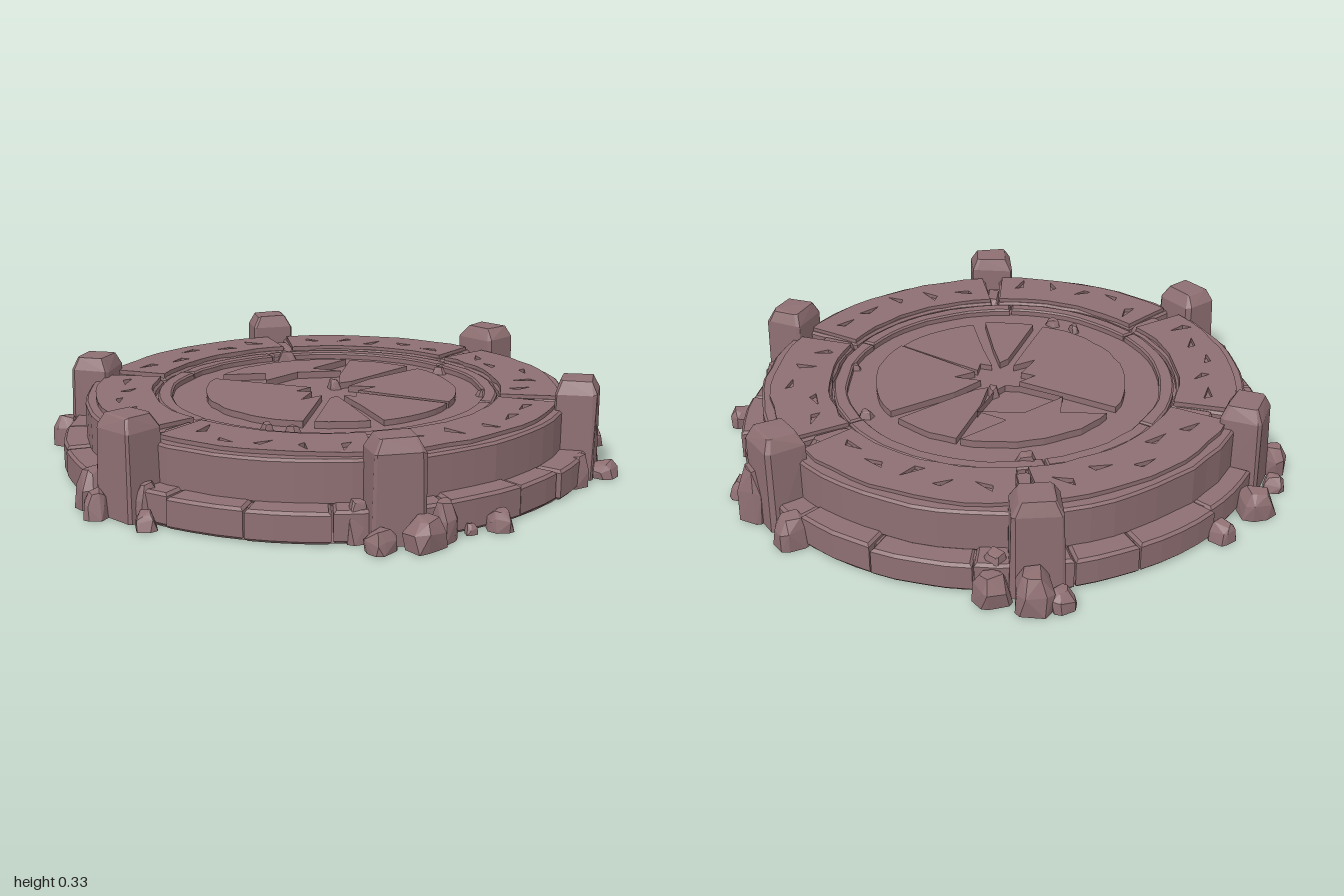
import * as THREE from 'three';
import { ConvexGeometry } from 'three/addons/geometries/ConvexGeometry.js';

const RAD = Math.PI / 180;
let seed = 7;
const rnd = () => { seed = (seed * 16807) % 2147483647; return seed / 2147483647; };
const jit = (s) => (rnd() - 0.5) * 2 * s;
// polar point in shape space; after lay() it sits at x = r cos a, z = r sin a
const polar = (r, deg) => new THREE.Vector2(r * Math.cos(deg * RAD), -r * Math.sin(deg * RAD));

export function createModel() {
  const stone = new THREE.MeshStandardMaterial({ color: 0x8e6f72, flatShading: true });
  stone.name = 'dusty stone';
  const root = new THREE.Group();
  root.name = 'ruinedPlatform';

  const add = (parent, name, geo, x = 0, y = 0, z = 0) => {
    const m = new THREE.Mesh(geo, stone);
    m.name = name;
    m.position.set(x, y, z);
    parent.add(m);
    return m;
  };
  const group = (name) => { const g = new THREE.Group(); g.name = name; root.add(g); return g; };

  // flat slab from an outline, standing between y0 and y1
  const lay = (points, y0, y1, bevel = 0, holes = []) => {
    const shape = new THREE.Shape(points);
    holes.forEach((h) => shape.holes.push(new THREE.Path(h)));
    const geo = new THREE.ExtrudeGeometry(shape, {
      depth: y1 - y0 - 2 * bevel, bevelEnabled: bevel > 0, bevelThickness: bevel,
      bevelSize: bevel, bevelOffset: -bevel, bevelSegments: 1,
    });
    geo.rotateX(-Math.PI / 2);
    geo.translate(0, y0 + bevel, 0);
    return geo;
  };
  // ring sector outline; gapIn and gapOut are half joint widths in units
  const sector = (r0, r1, a0, a1, gapIn, gapOut, rough = 0, step = 6) => {
    const pts = [];
    const arc = (r, gap, back) => {
      const g = gap / r / RAD, n = Math.max(2, Math.round((a1 - a0) / step));
      for (let i = 0; i <= n; i++) {
        const t = back ? 1 - i / n : i / n;
        pts.push(polar(r + jit(rough), a0 + g + (a1 - a0 - 2 * g) * t));
      }
    };
    arc(r1, gapOut, false);
    arc(r0, gapIn, true);
    return pts;
  };
  // chipped convex block: stacked octagonal sections [height, scale]
  const block = (w, d, sections, rough, cut = 0.7) => {
    const pts = [];
    for (const [y, s] of sections) {
      for (const [u, v] of [[1, cut], [cut, 1], [-cut, 1], [-1, cut], [-1, -cut], [-cut, -1], [cut, -1], [1, -cut]]) {
        pts.push(new THREE.Vector3(u * s * w / 2 + jit(rough), y ? y + jit(rough) : 0, v * s * d / 2 + jit(rough)));
      }
    }
    return new ConvexGeometry(pts);
  };

  // lower step: solid core and a kerb of separate blocks
  const lower = group('lowerStep');
  lower.scale.x = 0.975;
  add(lower, 'lowerCore', new THREE.CylinderGeometry(0.88, 0.905, 0.09, 64), 0, 0.045, 0);
  const cuts = [];
  for (let i = 0; i < 20; i++) cuts.push(i * 18 + jit(4));
  cuts.push(cuts[0] + 360);
  for (let i = 0; i < 20; i++) {
    const pts = sector(0.78, 0.918 + jit(0.008), cuts[i], cuts[i + 1], 0.002, 0.003, 0.003, 5);
    add(lower, 'kerbBlock', lay(pts, 0.002, 0.102 + jit(0.006), 0.009));
  }

  // upper step: six sectors split at the pillars, each with a gouged top plate
  const upper = group('upperStep');
  upper.scale.x = 0.98;
  add(upper, 'upperCore', new THREE.CylinderGeometry(0.78, 0.78, 0.125, 64), 0, 0.1425, 0);
  const joints = [0, 62, 118, 177, 240, 301, 360];
  for (let i = 0; i < 6; i++) {
    const a0 = joints[i], a1 = joints[i + 1];
    add(upper, 'ringSector', lay(sector(0.6, 0.84, a0, a1, 0.012, 0.03, 0.004), 0.09, 0.23, 0.008));
    const holes = [];
    for (let k = 0; k < 5; k++) {
      const a = a0 + (a1 - a0) * (0.16 + k * 0.17), r = 0.71 + jit(0.045), t = rnd() * 6.28, L = 0.035 + rnd() * 0.012;
      const c = polar(r, a);
      holes.push([0, 2.6, 3.5].map((o, j) => new THREE.Vector2(
        c.x + Math.cos(t + o) * L * (j === 2 ? 0.55 : 1), c.y + Math.sin(t + o) * L * (j === 2 ? 0.55 : 1))));
    }
    const top = add(upper, 'topPlate', lay(sector(0.61, 0.805, a0, a1, 0.018, 0.04, 0.006), 0.225, 0.244, 0, holes));
    top.position.y = jit(0.002);
    // wedge lying in the joint behind each pillar
    const p = polar(0.68, a0);
    const wedge = add(upper, 'jointWedge', block(0.15, 0.045, [[0, 1], [0.03, 0.8]], 0.006), p.x, 0.2, -p.y);
    wedge.rotation.y = -a0 * RAD;
  }

  // narrow lip around the sunken floor
  const lipCuts = [4, 68, 120, 190, 232, 305, 364];
  for (let i = 0; i < 6; i++) {
    add(upper, 'innerLip', lay(sector(0.545, 0.593, lipCuts[i], lipCuts[i + 1], 0.003, 0.003, 0.003), 0.195, 0.228, 0.006));
  }

  // cracked central disc: slabs around a star-shaped hollow
  const disc = group('crackedDisc');
  // [start angle, end angle, inner outline as radius / angle pairs from end to start]
  const slabs = [
    [-57, 10, [[0.3, 9], [0.1, 2], [0.16, -22], [0.07, -40], [0.19, -58]]],
    [11, 52, [[0.28, 11], [0.1, 12], [0.13, 32], [0.1, 48], [0.24, 50]].reverse()],
    [58, 82, [[0.25, 80], [0.14, 76], [0.11, 64], [0.22, 59]]],
    [87, 184, [[0.25, 183], [0.07, 178], [0.12, 148], [0.08, 128], [0.18, 108], [0.1, 92], [0.24, 88]]],
    [191, 263, [[0.25, 189], [0.09, 200], [0.06, 232], [0.1, 258], [0.25, 264]]],
    [265, 296, [[0.25, 295], [0.12, 292], [0.08, 278], [0.2, 265]]],
  ];
  slabs.forEach(([a0, a1, inner]) => {
    const pts = [], n = Math.round((a1 - a0) / 6);
    for (let i = 0; i <= n; i++) pts.push(polar(0.432 + jit(0.004), a0 + (a1 - a0) * i / n));
    inner.forEach(([r, a]) => pts.push(polar(r, a)));
    add(disc, 'discSlab', lay(pts, 0.19, 0.226 + jit(0.003)), 0.01, 0, -0.005);
  });
  // rubble chips on the floor
  [[-0.28, -0.45, 0.07], [-0.07, 0.48, 0.05], [0.02, 0.49, 0.05], [0, -0.09, 0.06], [0.32, -0.4, 0.05], [0.52, -0.12, 0.04]]
    .forEach(([x, z, s]) => {
      const chip = add(disc, 'chip', block(s, s * 0.7, [[0, 1], [s * 0.5, 0.6]], s * 0.1), x, 0.203, z);
      chip.rotation.y = rnd() * 6;
    });

  // six chamfered pillars: [x, z, height, facing angle]
  const pillars = group('pillars');
  [[0.855, 0.02, 0.325, 0], [0.405, 0.78, 0.312, 62], [-0.41, 0.78, 0.318, 118],
    [-0.84, 0.05, 0.305, 177], [-0.44, -0.75, 0.32, 240], [0.44, -0.75, 0.32, 301]].forEach(([x, z, h, a]) => {
    const p = add(pillars, 'pillar', block(0.135, 0.155, [[0, 1.06], [h - 0.04, 1], [h, 0.72]], 0.004, 0.86), x, 0, z);
    p.rotation.y = -a * RAD;
  });

  // fallen rocks at the pillar feet: [x, z, size, height]
  const rocks = group('rocks');
  [[-0.93, -0.11, 0.12, 0.08], [-0.88, -0.3, 0.08, 0.06], [-0.92, 0.15, 0.08, 0.1], [-0.955, 0.05, 0.07, 0.05],
    [0.945, 0.03, 0.1, 0.05], [0.88, -0.31, 0.08, 0.06], [0.87, 0.16, 0.08, 0.1], [0.87, -0.09, 0.1, 0.14],
    [-0.475, -0.85, 0.12, 0.12], [-0.36, -0.88, 0.1, 0.09], [-0.55, -0.82, 0.08, 0.06], [-0.34, -0.82, 0.08, 0.13],
    [0.33, -0.87, 0.1, 0.1], [0.51, -0.78, 0.1, 0.18], [0.61, -0.7, 0.09, 0.06], [0.53, -0.7, 0.07, 0.13],
    [0.695, 0.63, 0.07, 0.06], [0.51, 0.83, 0.11, 0.09], [0.39, 0.89, 0.08, 0.06], [0.55, 0.76, 0.07, 0.12],
    [0.31, 0.83, 0.07, 0.12], [0.615, 0.685, 0.04, 0.03], [-0.55, 0.74, 0.1, 0.12], [-0.5, 0.83, 0.08, 0.08],
    [-0.32, 0.89, 0.07, 0.05], [-0.34, 0.82, 0.08, 0.12]].forEach(([x, z, s, h]) => {
    const r = add(rocks, 'rock', block(s, s * 0.9, [[0, 1], [h * 0.6, 0.95], [h, 0.55]], s * 0.09, 0.6), x, 0, z);
    r.rotation.y = rnd() * 6;
  });
  return root;
}
